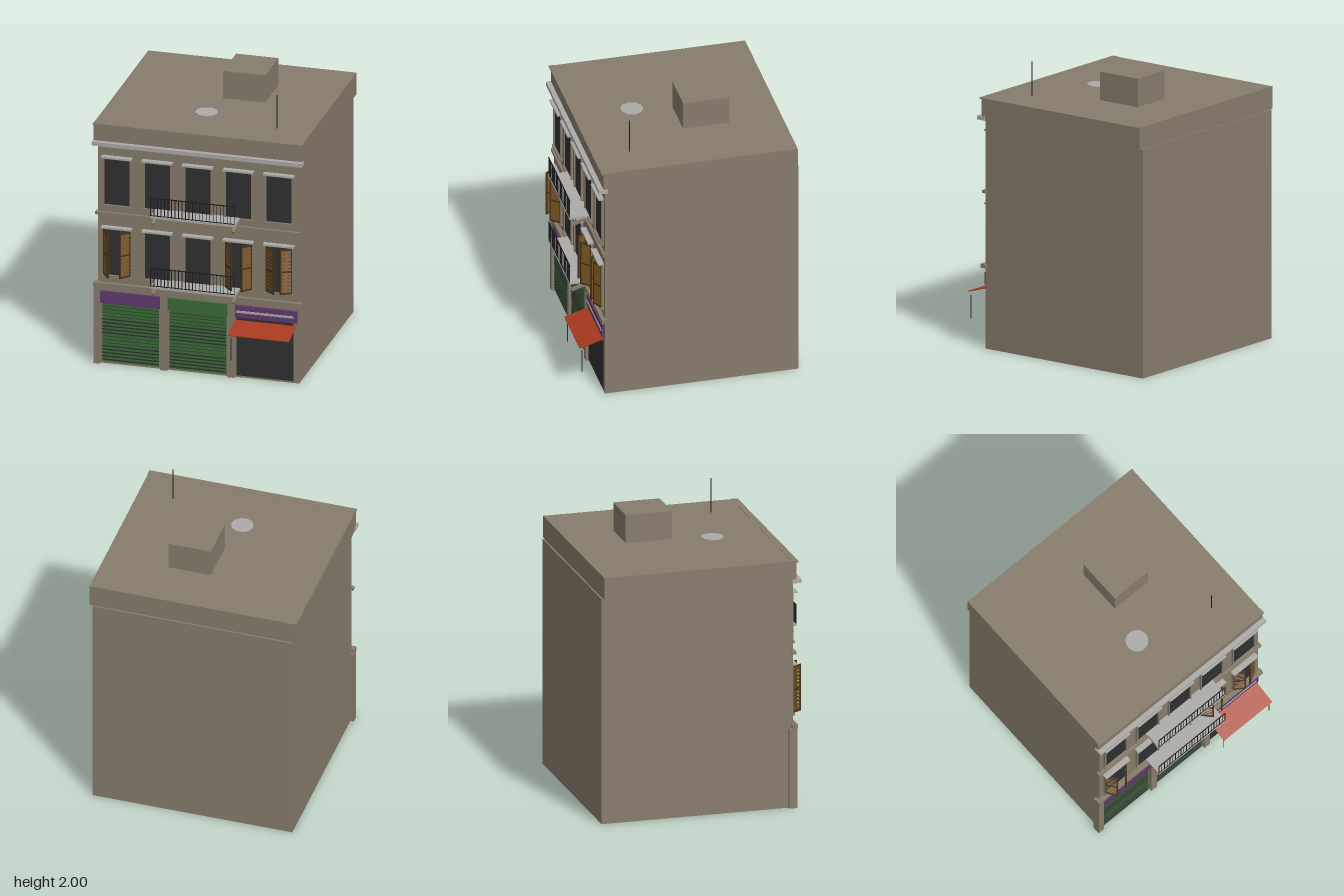
import * as THREE from 'three';

const mat = (name, color) => {
  const m = new THREE.MeshStandardMaterial({ color });
  m.name = name;
  return m;
};

export function createModel() {
  const wall = mat('stucco', 0x877c6c);
  const stone = mat('paleStone', 0xacaba8);
  const glass = mat('darkGlass', 0x303030);
  const iron = mat('blackIron', 0x1c1c1c);
  const green = mat('greenPaint', 0x3a6b37);
  const purple = mat('purplePaint', 0x5f396c);
  const canvas = mat('redCanvas', 0xa83a1f);
  const wood = mat('shutterWood', 0x74501f);
  const darkWood = mat('darkWood', 0x46331a);

  const model = new THREE.Group();
  model.name = 'building';

  // Box given by its limits on each axis
  function box(name, m, [x0, x1], [y0, y1], [z0, z1], parent = model) {
    const mesh = new THREE.Mesh(new THREE.BoxGeometry(x1 - x0, y1 - y0, z1 - z0), m);
    mesh.position.set((x0 + x1) / 2, (y0 + y1) / 2, (z0 + z1) / 2);
    mesh.name = name;
    parent.add(mesh);
    return mesh;
  }
  function group(name, x = 0, y = 0, z = 0) {
    const g = new THREE.Group();
    g.name = name;
    g.position.set(x, y, z);
    model.add(g);
    return g;
  }
  function pole(name, m, r, x, y0, y1, z) {
    const mesh = new THREE.Mesh(new THREE.CylinderGeometry(r, r, y1 - y0, 8), m);
    mesh.position.set(x, (y0 + y1) / 2, z);
    mesh.name = name;
    model.add(mesh);
  }

  // Main block, parapet and mouldings
  box('body', wall, [-0.71, 0.71], [0, 1.6], [-0.762, 0.592]);
  box('parapet', wall, [-0.735, 0.735], [1.6, 1.756], [-0.75, 0.608]);
  box('parapetCap', wall, [-0.737, 0.737], [1.748, 1.758], [0.58, 0.624]);
  box('cornice', stone, [-0.742, 0.742], [1.602, 1.63], [0.58, 0.642]);
  box('upperBand', wall, [-0.725, 0.725], [1.09, 1.11], [0.58, 0.612]);
  box('lowerBand', wall, [-0.735, 0.73], [0.565, 0.594], [0.58, 0.62]);
  for (const [a, b] of [[-0.735, -0.69], [-0.265, -0.215], [0.21, 0.26]])
    box('pilaster', wall, [a, b], [0, 0.565], [0.56, 0.615]);

  // Roof fittings
  box('roofHut', wall, [-0.012, 0.286], [1.75, 1.955], [-0.386, -0.06]);
  const hatch = new THREE.Mesh(new THREE.CylinderGeometry(0.077, 0.077, 0.006, 32), stone);
  hatch.name = 'roofDisc';
  hatch.position.set(-0.05, 1.758, 0.215);
  model.add(hatch);
  pole('antenna', iron, 0.003, 0.49, 1.75, 2, 0.365);

  // Windows with surround, sill and hood
  function window(x, y) {
    const g = group('window', x, y, 0);
    box('pane', glass, [-0.092, 0.092], [0.008, 0.345], [0.59, 0.599], g);
    for (const s of [-1, 1]) {
      const ends = [s * 0.09, s * 0.101].sort((a, b) => a - b);
      box('jamb', wall, ends, [0, 0.35], [0.585, 0.608], g);
    }
    box('head', wall, [-0.101, 0.101], [0.34, 0.352], [0.585, 0.608], g);
    box('sill', wall, [-0.106, 0.106], [-0.004, 0.008], [0.585, 0.616], g);
    box('hood', stone, [-0.107, 0.107], [0.352, 0.364], [0.585, 0.632], g);
  }
  for (const y of [0.646, 1.16]) for (let i = -2; i <= 2; i++) window(i * 0.286, y);

  // Louvred shutter leaf, hinged at its local x = 0
  function leaf(x, angle) {
    const g = group('louvredShutter', x, 0.656, 0.602);
    g.rotation.y = angle;
    const w = 0.088, h = 0.33, t = 0.005;
    box('stile', darkWood, [0, 0.01], [0, h], [-t, t], g);
    box('stile', darkWood, [w - 0.01, w], [0, h], [-t, t], g);
    for (const y of [0, h / 2 - 0.006, h - 0.012])
      box('rail', darkWood, [0, w], [y, y + 0.012], [-t, t], g);
    for (let i = 0; i < 12; i++) {
      const y = 0.013 + i * 0.0255;
      const slat = box('slat', wood, [0.008, w - 0.008], [y, y + 0.022], [-0.002, 0.002], g);
      slat.rotation.x = 0.25;
    }
  }
  for (const [x, a, b] of [[-0.572, 0.95, 0.83], [0.286, 0.83, 0.83], [0.572, 0.6, 0.5]]) {
    leaf(x - 0.094, -a);
    leaf(x + 0.094, b - Math.PI);
  }

  // Balconies: slab, sloping brackets and front railing
  for (const y of [0.64, 1.154]) {
    const g = group('balcony', 0, y, 0);
    box('slab', stone, [-0.3, 0.295], [0, 0.016], [0.58, 0.738], g);
    for (const x of [-0.285, 0.28]) {
      const b = box('bracket', wall, [x - 0.01, x + 0.01], [-0.034, -0.014], [0.575, 0.722], g);
      b.rotation.x = 0.35;
    }
    box('topRail', iron, [-0.3, 0.295], [0.146, 0.152], [0.731, 0.737], g);
    box('bottomRail', iron, [-0.3, 0.295], [0.018, 0.023], [0.732, 0.736], g);
    for (let i = 0; i <= 24; i++) {
      const x = -0.298 + i * 0.0246;
      box('baluster', iron, [x - 0.002, x + 0.002], [0.016, 0.148], [0.732, 0.736], g);
    }
  }

  // Two closed shops with roller shutters
  for (const [x, m] of [[-0.477, purple], [-0.003, green]]) {
    const g = group('closedShop', x, 0, 0);
    box('signBoard', m, [-0.213, 0.213], [0.443, 0.53], [0.58, 0.61], g);
    box('rollerShutter', green, [-0.2, 0.2], [0.015, 0.443], [0.58, 0.598], g);
    for (let i = 0; i < 17; i++) {
      const y = 0.03 + i * 0.0245;
      const wide = i < 5 || (i > 7 && i < 13);
      const h = wide ? 0.0045 : 0.0015;
      box('shutterGroove', glass, [-0.2, 0.2], [y - h, y + h], [0.59, 0.6], g);
    }
  }

  // Open shop with sign, awning and hanging poles
  box('shopOpening', glass, [0.27, 0.67], [0.015, 0.443], [0.58, 0.598]);
  box('shopSign', purple, [0.262, 0.697], [0.443, 0.53], [0.58, 0.61]);
  box('signStripe', stone, [0.27, 0.675], [0.479, 0.495], [0.605, 0.614]);
  const slope = Math.atan2(0.052, 0.175);
  const awning = box('awning', canvas, [0.258, 0.688], [0.392, 0.397], [0.587, 0.769]);
  awning.rotation.x = slope;
  for (const x of [0.272, 0.676]) pole('awningRod', glass, 0.0025, x, 0.18, 0.345, 0.745);

  return model;
}
